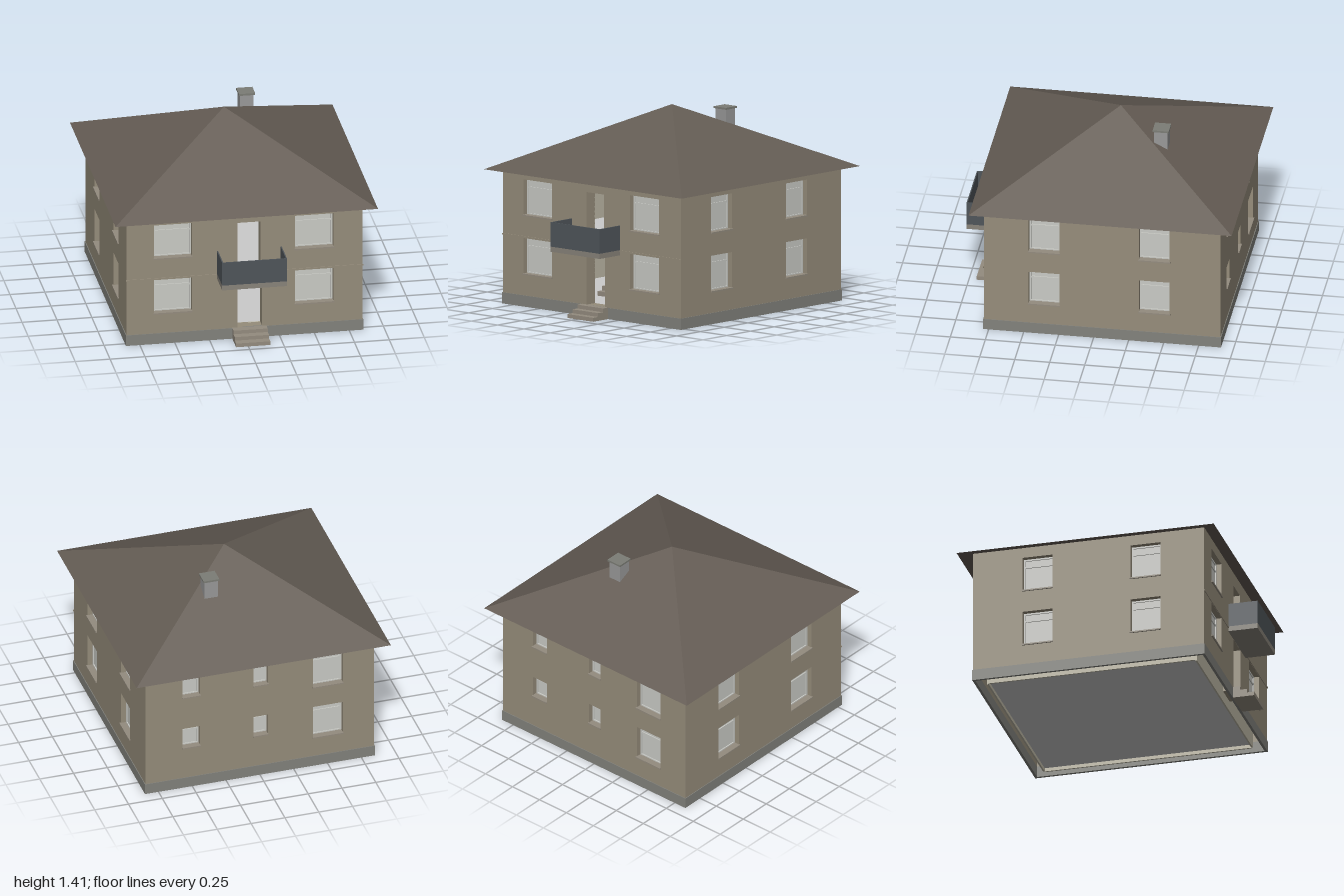
import * as THREE from 'three';

const mat = (color, extra = {}) => new THREE.MeshStandardMaterial({ color, ...extra });
const M = {
  wall: mat(0x968d7b), lining: mat(0xbdb8a6), plinth: mat(0x82827c), roof: mat(0x645c54, { flatShading: true }),
  glass: mat(0xcacbc6), rail: mat(0x4f555a), stone: mat(0x948c7f), slab: mat(0x88837a),
  chimney: mat(0x999999), cap: mat(0x7c7d76), floor: mat(0xcccccc),
};
const CZ = -0.06;     // centre of the house along z
const H = 0.845;      // half width of the house
const T = 0.09;       // total thickness of the hollow walls
const SKIN = 0.012;   // thickness of each wall leaf
const TOP = 0.985;    // top of the walls under the roof

// box given by its min and max corners
function box(parent, name, material, x0, x1, y0, y1, z0, z1) {
  const mesh = new THREE.Mesh(new THREE.BoxGeometry(x1 - x0, y1 - y0, z1 - z0), material);
  mesh.position.set((x0 + x1) / 2, (y0 + y1) / 2, (z0 + z1) / 2);
  mesh.name = name;
  parent.add(mesh);
}

const rect = (Type, x0, x1, y0, y1) => {
  const p = new Type();
  p.moveTo(x0, y0).lineTo(x1, y0).lineTo(x1, y1).lineTo(x0, y1).closePath();
  return p;
};

// flat sheet with rectangular openings
function sheet(parent, name, material, bounds, holes, depth) {
  const shape = rect(THREE.Shape, ...bounds);
  holes.forEach(h => shape.holes.push(rect(THREE.Path, ...h)));
  const mesh = new THREE.Mesh(new THREE.ExtrudeGeometry(shape, { depth, bevelEnabled: false }), material);
  mesh.name = name;
  parent.add(mesh);
  return mesh;
}

// four thin strips along the inside (t > 0) or outside (t < 0) of an opening
function border(parent, name, material, [x0, x1, y0, y1], t, z0, z1) {
  const strip = (a, b, c, d) =>
    box(parent, name, material, Math.min(a, b), Math.max(a, b), Math.min(c, d), Math.max(c, d), z0, z1);
  strip(x0, x0 + t, y0, y1);
  strip(x1 - t, x1, y0, y1);
  strip(x0, x1, y0, y0 + t);
  strip(x0, x1, y1 - t, y1);
}

// recessed pane, frame, transom and sill
function addWindow(parent, opening) {
  const [x0, x1, y0, y1] = opening;
  const g = new THREE.Group();
  g.name = 'window';
  const f = 0.012, t = y0 + (y1 - y0) * 0.74;
  box(g, 'pane', M.glass, x0, x1, y0, y1, -0.055, -0.046);
  border(g, 'frame', M.glass, opening, f, -0.052, -0.038);
  box(g, 'transom', M.glass, x0 + f, x1 - f, t, t + f, -0.052, -0.038);
  box(g, 'sill', M.stone, x0 - 0.004, x1 + 0.004, y0 - 0.006, y0 + 0.004, -0.038, 0.01);
  parent.add(g);
}

// hollow wall in local space: x along the wall, z = 0 on its outer face
function addWall(parent, name, half, windows, doors = []) {
  const g = new THREE.Group();
  g.name = name;
  const holes = [...windows, ...doors];
  sheet(g, 'outerWall', M.wall, [-half, half, 0.07, TOP], holes, SKIN).position.z = -SKIN;
  sheet(g, 'innerWall', M.lining, [T - H, H - T, 0, TOP], holes, SKIN).position.z = -T;
  holes.forEach(h => border(g, 'reveal', M.wall, h, -0.004, -T + 0.002, -0.002));
  windows.forEach(w => addWindow(g, w));
  parent.add(g);
  return g;
}

const column = (x0, x1, lift = 0) => [0.233, 0.653].map(y => [x0, x1, y + lift, y + 0.256]);

export function createModel() {
  const model = new THREE.Group();
  model.name = 'house';

  // walls
  const doors = [[-0.05, 0.127, 0.08, 0.465], [-0.05, 0.115, 0.505, 0.885]];
  const front = addWall(model, 'frontWall', H, [...column(-0.648, -0.377), ...column(0.362, 0.637)], doors);
  front.position.z = CZ + H;
  const back = addWall(model, 'backWall', H,
    [...column(-0.57, -0.44, 0.095), ...column(-0.047, 0.06, 0.095), ...column(0.395, 0.615)]);
  back.position.z = CZ - H;
  back.rotation.y = Math.PI;
  for (const s of [1, -1]) {
    const cols = [[-0.525, -0.305], [0.263, 0.483]].map(c => (s > 0 ? c : [-c[1], -c[0]]));
    const side = addWall(model, s > 0 ? 'leftWall' : 'rightWall', H - SKIN, cols.flatMap(c => column(...c)));
    side.position.set(s * H, 0, CZ);
    side.rotation.y = s * Math.PI / 2;
  }

  // plinth strips around the foot of the walls
  const P = H + 0.005, Q = H - SKIN - 0.002;
  box(model, 'plinth', M.plinth, -P, P, 0, 0.08, CZ + Q, CZ + P);
  box(model, 'plinth', M.plinth, -P, P, 0, 0.08, CZ - P, CZ - Q);
  box(model, 'plinth', M.plinth, Q, P, 0, 0.08, CZ - Q, CZ + Q);
  box(model, 'plinth', M.plinth, -P, -Q, 0, 0.08, CZ - Q, CZ + Q);

  // band between the storeys, front only
  box(model, 'beltCourse', M.wall, -P, P, 0.492, 0.504, CZ + H, CZ + P);

  // floors, the upper one open above the inner staircase
  const I = H - T;
  box(model, 'groundFloor', M.floor, -I, I, 0.025, 0.08, CZ - I, CZ + I);
  const upper = sheet(model, 'upperFloor', M.floor, [-I, I, -I, I], [[-0.25, -0.03, -0.51, 0.21]], 0.03);
  upper.rotation.x = -Math.PI / 2;
  upper.position.set(0, 0.475, CZ);
  for (let i = 0; i < 12; i++) {
    box(model, 'innerStep', M.stone, -0.25, -0.03, 0.08, 0.08 + (i + 1) * 0.032, 0.45 - (i + 1) * 0.05, 0.45 - i * 0.05);
  }

  // hipped roof with sloping eaves and a flat ceiling
  const profile = [[0, TOP], [H * Math.SQRT2, TOP], [0.94 * Math.SQRT2, 0.96], [0, 1.415]];
  const roof = new THREE.Mesh(
    new THREE.LatheGeometry(profile.map(p => new THREE.Vector2(...p)), 4, Math.PI / 4), M.roof);
  roof.position.z = CZ;
  roof.name = 'roof';
  model.add(roof);

  // chimney
  box(model, 'chimney', M.chimney, 0.163, 0.26, 1.15, 1.372, -0.435, -0.338);
  box(model, 'chimneyCap', M.cap, 0.154, 0.27, 1.37, 1.384, -0.444, -0.329);

  // balcony
  const z0 = CZ + H, r = 0.008;
  box(model, 'balconySlab', M.slab, -0.197, 0.267, 0.468, 0.505, z0, 1);
  box(model, 'balconyFloor', M.glass, -0.13, 0.197, 0.5, 0.508, z0, 0.96);
  box(model, 'balconyFrontPanel', M.rail, -0.197, 0.267, 0.505, 0.68, 1 - r, 1);
  box(model, 'balconySidePanel', M.rail, -0.197, -0.197 + r, 0.505, 0.68, z0, 1 - r);
  box(model, 'balconySidePanel', M.rail, 0.267 - r, 0.267, 0.505, 0.68, z0, 1 - r);

  // entrance steps
  [[0.055, 0.082, 0.84], [0.028, 0.055, 0.892], [0, 0.028, 0.945]].forEach(([y0, y1, z]) =>
    box(model, 'entranceStep', M.stone, -0.088, 0.157, y0, y1, z0, z));

  return model;
}
